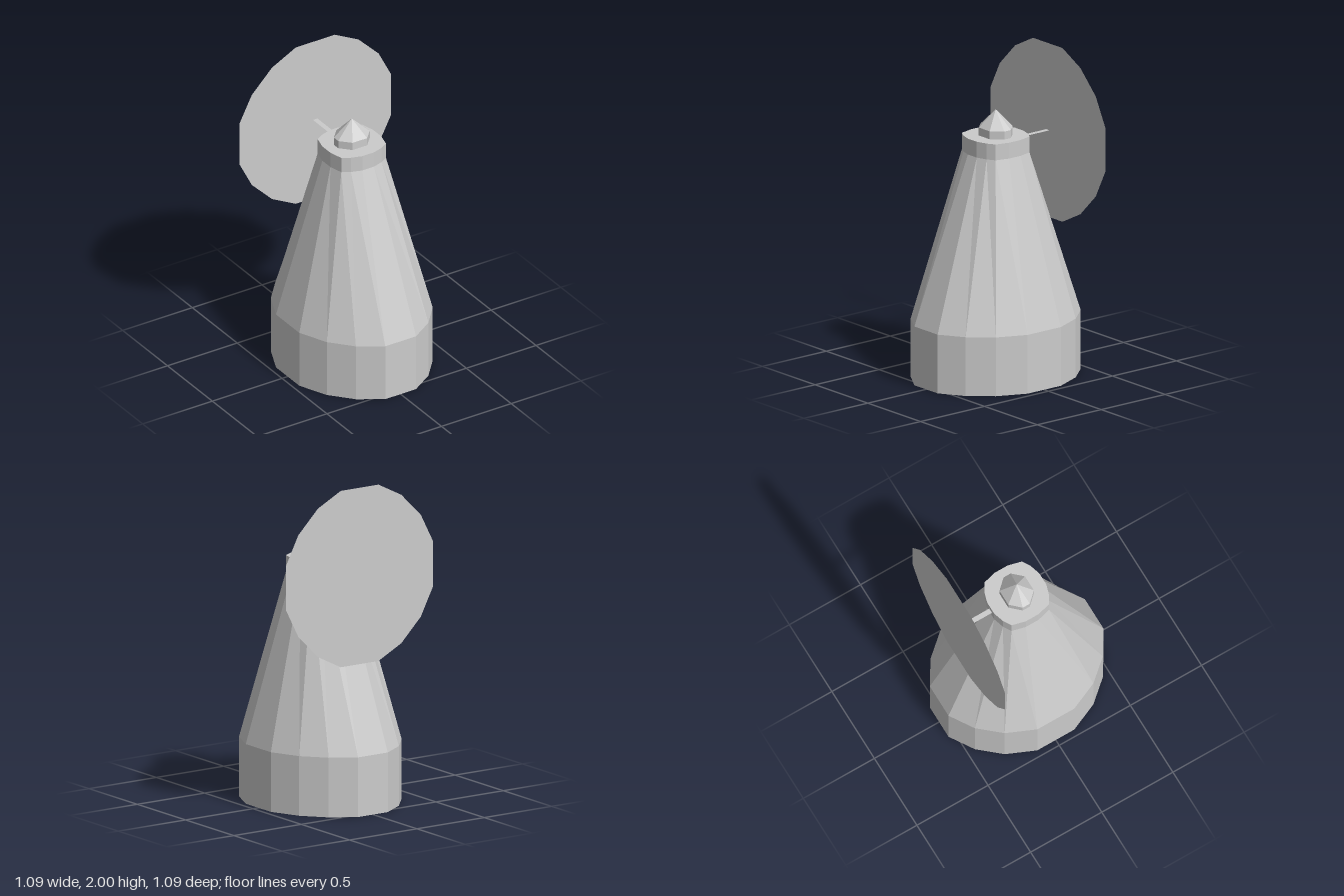
import * as THREE from 'three';

const material = new THREE.MeshStandardMaterial({ color: 0xcccccc, flatShading: true, side: THREE.DoubleSide });

// Mirrors the points of one quadrant (side to front) into a full ring, running left, front, right, back
function ring(quadrant) {
  const place = (sx, sz) => quadrant.map(([x, z]) => [x * sx, z * sz]);
  return [
    ...place(-1, 1), ...place(1, 1).reverse(),
    ...place(1, -1), ...place(-1, -1).reverse(),
  ];
}

// Skins a stack of { ring, y } sections and closes the top with a fan to a point at apexY
function loft(sections, apexY) {
  const positions = [];
  const n = sections[0].ring.length;
  const at = (s, i) => [s.ring[i % n][0], s.y, s.ring[i % n][1]];
  for (let k = 0; k < sections.length - 1; k++) {
    const low = sections[k], high = sections[k + 1];
    for (let i = 0; i < n; i++) {
      positions.push(...at(low, i), ...at(low, i + 1), ...at(high, i));
      positions.push(...at(low, i + 1), ...at(high, i + 1), ...at(high, i));
    }
  }
  const top = sections[sections.length - 1];
  for (let i = 0; i < n; i++) positions.push(...at(top, i), ...at(top, i + 1), 0, apexY, 0);
  const geometry = new THREE.BufferGeometry();
  geometry.setAttribute('position', new THREE.Float32BufferAttribute(positions, 3));
  geometry.computeVertexNormals();
  return geometry;
}

export function createModel() {
  const model = new THREE.Group();
  const add = (name, geometry) => {
    const mesh = new THREE.Mesh(geometry, material);
    mesh.name = name;
    model.add(mesh);
    return mesh;
  };

  // Tower: upright oval base, tapering walls, short collar and flat roof, open underneath
  const base = ring([[0.46, 0.13], [0.38, 0.312], [0.26, 0.45], [0.11, 0.545]]);
  const collar = ring([[0.182, 0.045], [0.16, 0.132], [0.11, 0.162], [0.042, 0.183]]);
  add('tower', loft([
    { ring: base, y: 0 },
    { ring: base, y: 0.37 },
    { ring: collar, y: 1.4 },
    { ring: collar, y: 1.5 },
  ], 1.5));

  // Eight-sided finial with a pointed top
  const octagon = ring([[0.113, 0.025], [0.052, 0.09]]);
  add('finial', loft([{ ring: octagon, y: 1.5 }, { ring: octagon, y: 1.55 }], 1.66));

  // Thin wheel disc behind the tower
  const outline = ring([[0.545, 0.14], [0.455, 0.315], [0.31, 0.46], [0.14, 0.547]]);
  const shape = new THREE.Shape(outline.map(([x, y]) => new THREE.Vector2(x, y)));
  add('wheel', new THREE.ShapeGeometry(shape)).position.set(0, 1.453, -0.407);

  // Flat axle joining the collar to the wheel
  const axle = add('axle', new THREE.PlaneGeometry(0.032, 0.227));
  axle.rotation.x = -Math.PI / 2;
  axle.position.set(0, 1.453, -0.2935);

  return model;
}
